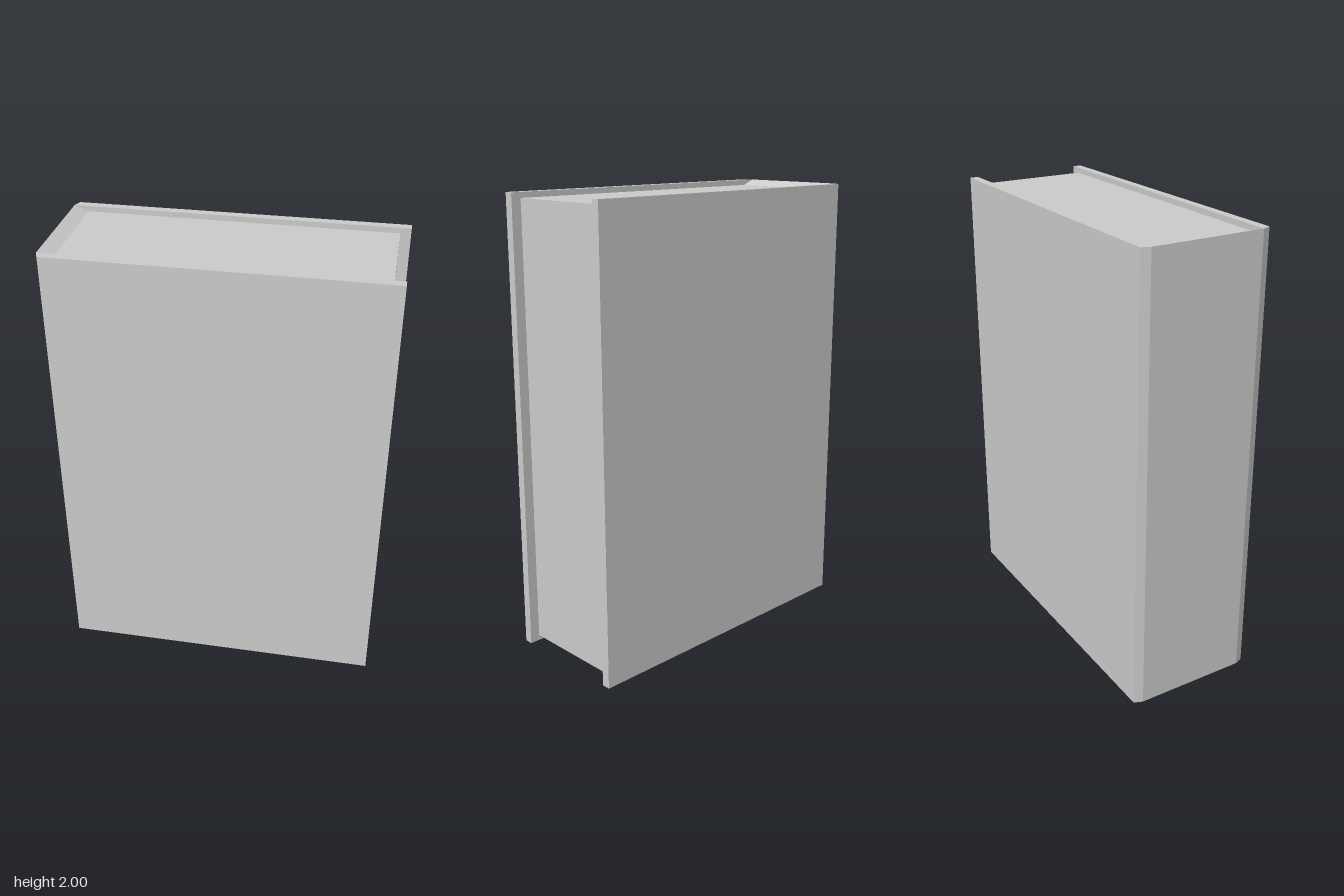
import * as THREE from 'three';

const material = new THREE.MeshStandardMaterial({ color: 0xcccccc, flatShading: true });

// Extrude a closed outline of [x, y] points, centred in depth
function prism(name, points, depth) {
  const shape = new THREE.Shape(points.map(([x, y]) => new THREE.Vector2(x, y)));
  const geometry = new THREE.ExtrudeGeometry(shape, { depth, bevelEnabled: false });
  geometry.translate(0, 0, -depth / 2);
  const mesh = new THREE.Mesh(geometry, material);
  mesh.name = name;
  return mesh;
}

export function createModel() {
  const book = new THREE.Group();
  book.name = 'book';

  const spineX = -0.72, foreEdgeX = 0.72;
  const inner = 0.252, outer = 0.29;

  // Page block, flaring out to full height where it meets the spine
  const pages = prism('pagesAndSpine', [
    [spineX, 0], [-0.66, 0.024], [0.675, 0.024],
    [0.675, 1.976], [-0.66, 1.976], [spineX, 2],
  ], inner * 2);
  book.add(pages);

  // Cover boards, chamfered along the spine
  for (const [name, side] of [['frontCover', 1], ['backCover', -1]]) {
    const outline = [
      [spineX, -inner * side], [foreEdgeX, -inner * side],
      [foreEdgeX, -outer * side], [-0.705, -outer * side],
    ];
    const cover = prism(name, outline, 2);
    cover.rotation.x = -Math.PI / 2;
    cover.position.y = 1;
    book.add(cover);
  }

  return book;
}
